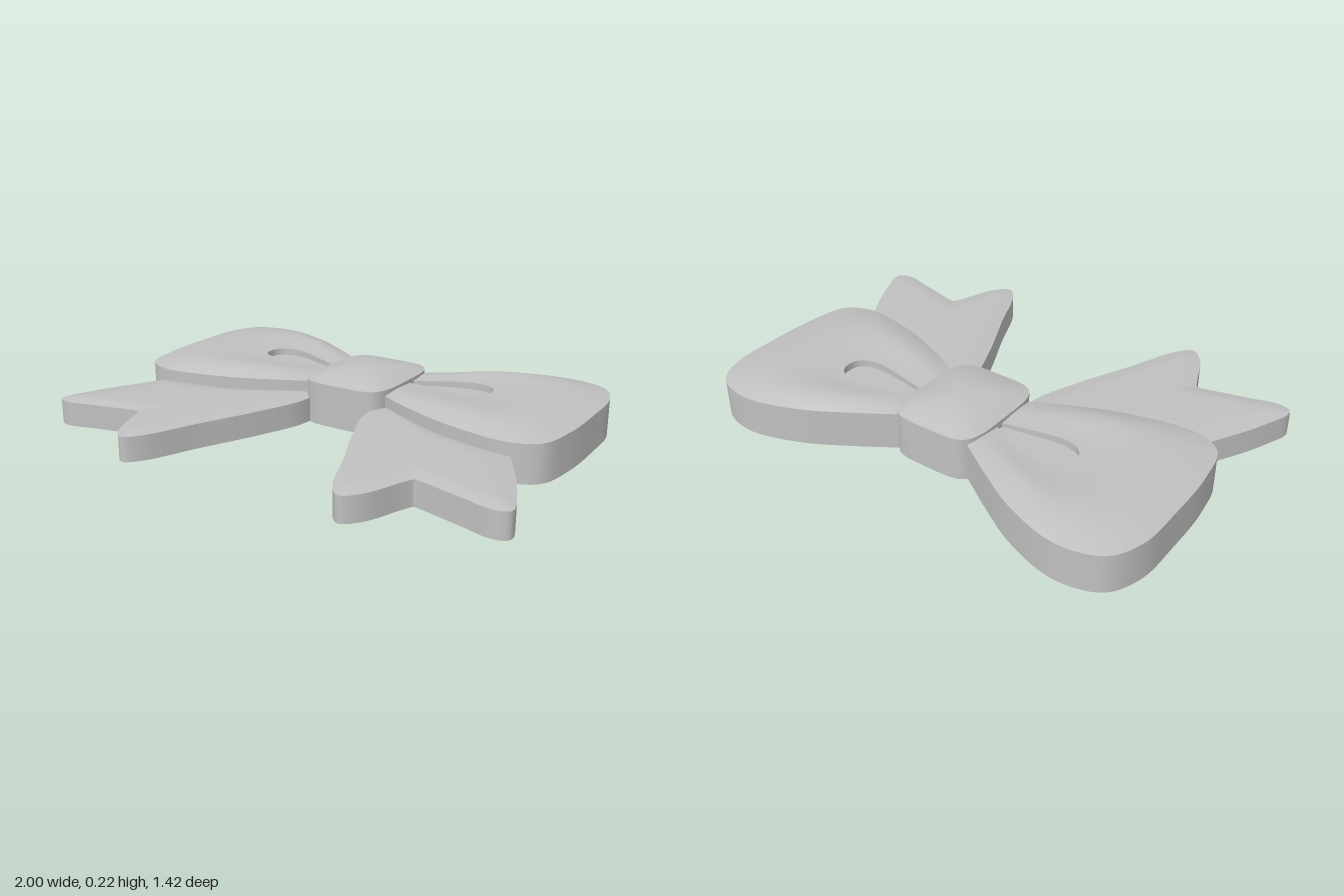
import * as THREE from 'three';
import { mergeGeometries, toCreasedNormals } from 'three/addons/utils/BufferGeometryUtils.js';

const SEG = 144;

// Outline and matching inner contour, as [x, z, innerX, innerZ]
const LOOP = [
  [.10, -.30, .10, -.295], [.10, -.42, .11, -.298], [.17, -.46, .19, -.31], [.32, -.555, .28, -.345],
  [.50, -.655, .37, -.378], [.72, -.715, .45, -.392], [.88, -.67, .515, -.375], [.945, -.55, .537, -.345],
  [.957, -.35, .54, -.315], [.95, -.12, .535, -.285], [.91, .045, .50, -.255], [.80, .10, .44, -.245],
  [.60, .075, .37, -.25], [.40, .01, .28, -.265], [.18, -.10, .19, -.28], [.10, -.17, .11, -.292],
];
const TAIL = [
  [.16, -.13, .25, -.03], [.15, 0, .26, .05], [.22, .20, .33, .20], [.33, .44, .40, .40],
  [.425, .655, .46, .55], [.48, .707, .475, .60], [.54, .655, .50, .55], [.60, .51, .52, .45],
  [.617, .472, .54, .38], [.625, .46, .55, .36], [.645, .462, .57, .36], [.82, .505, .78, .42],
  [.95, .535, .90, .45], [1, .51, .92, .45], [.96, .38, .87, .40], [.88, .22, .78, .30],
  [.79, .085, .70, .20], [.67, .065, .60, .15], [.50, .03, .48, .10], [.30, -.06, .35, .02],
];
// Rounded square centred on the bow's middle
const KNOT = Array.from({ length: 48 }, (_, i) => {
  const a = i / 48 * Math.PI * 2, c = Math.cos(a), s = Math.sin(a);
  const x = .193 * Math.sign(c) * Math.abs(c) ** .45, z = .23 * Math.sign(s) * Math.abs(s) ** .45;
  return [x, -.26 + z, x * .04, -.26 + z * .04];
});

// Smooth closed contours, both running clockwise seen from above
function contours(rows, side) {
  const curve = k => new THREE.CatmullRomCurve3(
    rows.map(r => new THREE.Vector3(r[k] * side, 0, r[k + 1])), true, 'centripetal');
  const sample = c => Array.from({ length: SEG }, (_, i) => {
    const p = c.getPoint(i / SEG);
    return new THREE.Vector2(p.x, p.z);
  });
  const outer = sample(curve(0)), inner = sample(curve(2));
  const flat = outer.map(p => new THREE.Vector2(p.x, -p.y));
  if (!THREE.ShapeUtils.isClockWise(flat)) { outer.reverse(); inner.reverse(); }
  return { outer, inner };
}

const toShape = pts => new THREE.Shape(pts.map(p => new THREE.Vector2(p.x, -p.y)));

// Flat slab between two heights, with an optional round hole
function slab(pts, y0, y1, hole) {
  const shape = toShape(pts);
  if (hole) shape.holes.push(new THREE.Path().absarc(hole.x, -hole.z, hole.r, 0, Math.PI * 2, true));
  const g = new THREE.ExtrudeGeometry(shape, { depth: y1 - y0, bevelEnabled: false, curveSegments: 24 });
  return g.rotateX(-Math.PI / 2).translate(0, y0, 0);
}

// Domed skin from the outer contour to the inner one; rings are [t, height(x)]
function dome({ outer, inner }, rings) {
  const pos = [], index = [];
  rings.forEach(([t, height]) => outer.forEach((p, i) => {
    const q = p.clone().lerp(inner[i], t);
    pos.push(q.x, height(Math.abs(q.x)), q.y);
  }));
  for (let r = 0; r < rings.length - 1; r++) {
    for (let i = 0; i < SEG; i++) {
      const j = (i + 1) % SEG, a = r * SEG + i, b = r * SEG + j, c = b + SEG, d = a + SEG;
      index.push(a, d, c, a, c, b);
    }
  }
  const g = new THREE.BufferGeometry();
  g.setAttribute('position', new THREE.Float32BufferAttribute(pos, 3));
  g.setIndex(index);
  return g;
}

function ringsOf(n, height) {
  return Array.from({ length: n + 1 }, (_, i) => [i / n, x => height(i / n, x)]);
}

function cap(pts, y) {
  return new THREE.ShapeGeometry(toShape(pts)).rotateX(-Math.PI / 2).translate(0, y, 0);
}

function part(name, pieces, material) {
  const clean = pieces.map(p => {
    const g = p.index ? p.toNonIndexed() : p;
    g.deleteAttribute('uv');
    g.deleteAttribute('normal');
    return g;
  });
  const mesh = new THREE.Mesh(toCreasedNormals(mergeGeometries(clean), .5), material);
  mesh.name = name;
  return mesh;
}

export function createModel() {
  const bow = new THREE.Group();
  bow.name = 'bow';
  const grey = new THREE.MeshStandardMaterial({ color: 0xc0c0c0 });
  grey.name = 'grey';

  // Puffed loop: swells from the rim, dips at the teardrop and flattens at the knot
  const loopHeight = (t, x) => {
    const swell = t < .5 ? Math.sin(t * Math.PI) : 1 - .4 * THREE.MathUtils.smoothstep(t, .5, 1);
    return .155 + .032 * swell * (.3 + .7 * THREE.MathUtils.smoothstep(x, .12, .5));
  };

  for (const [side, label] of [[1, 'left'], [-1, 'right']]) {
    // Loop with a sunken teardrop on top and a blind round hole underneath
    const loop = contours(LOOP, side);
    const skin = [[0, () => .145], ...ringsOf(14, loopHeight), [1, () => .145]];
    bow.add(part(label + 'Loop', [
      slab(loop.outer, 0, .07, { x: .67 * side, z: 0, r: .052 }),
      slab(loop.outer, .07, .145),
      dome(loop, skin),
    ], grey));

    // Forked ribbon tail with a slight crown
    const tail = contours(TAIL, side);
    bow.add(part(label + 'Tail', [
      slab(tail.outer, 0, .101),
      dome(tail, ringsOf(6, t => .101 + .011 * Math.sin(t * Math.PI / 2))),
      cap(tail.inner, .112),
    ], grey));
  }

  // Central knot with a cushion top
  const knot = contours(KNOT, 1);
  bow.add(part('knot', [
    slab(knot.outer, 0, .178),
    dome(knot, ringsOf(12, t => .178 + .042 * (1 - (1 - t) ** 2))),
    cap(knot.inner, .22),
  ], grey));

  return bow;
}
